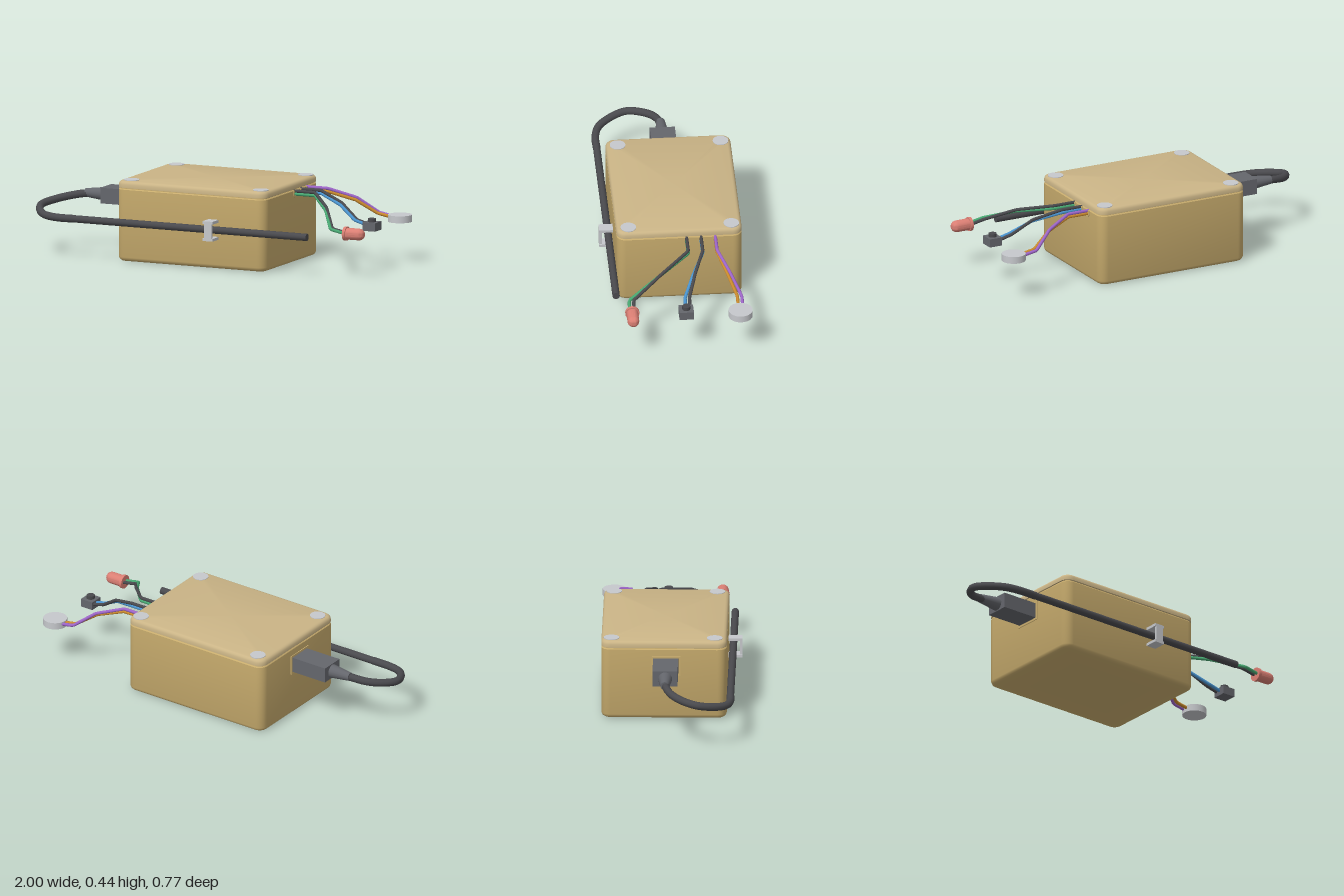
import * as THREE from 'three';
import { toCreasedNormals } from 'three/addons/utils/BufferGeometryUtils.js';

const V = (x, y, z) => new THREE.Vector3(x, y, z);
const mat = (name, color) => {
  const m = new THREE.MeshStandardMaterial({ color });
  m.name = name;
  return m;
};

// Rounded rectangle lofted through levels of [y, inset]
function roundedLoft(x0, x1, z0, z1, radius, levels) {
  const pos = [], idx = [], steps = 6, n = 4 * (steps + 1);
  const cx = (x0 + x1) / 2, cz = (z0 + z1) / 2;
  const hx = (x1 - x0) / 2 - radius, hz = (z1 - z0) / 2 - radius;
  for (const [y, inset] of levels) {
    for (let c = 0; c < 4; c++) {
      const sx = c === 0 || c === 3 ? 1 : -1, sz = c < 2 ? -1 : 1;
      for (let s = 0; s <= steps; s++) {
        const a = (c + s / steps) * Math.PI / 2, r = radius - inset;
        pos.push(cx + sx * hx + r * Math.cos(a), y, cz + sz * hz - r * Math.sin(a));
      }
    }
  }
  const last = levels.length - 1;
  for (let l = 0; l < last; l++) {
    for (let i = 0; i < n; i++) {
      const a = l * n + i, b = l * n + (i + 1) % n;
      idx.push(a, b, b + n, a, b + n, a + n);
    }
  }
  pos.push(cx, levels[0][0], cz, cx, levels[last][0], cz);
  const bottom = levels.length * n, top = bottom + 1;
  for (let i = 0; i < n; i++) {
    const j = (i + 1) % n;
    idx.push(bottom, j, i, top, last * n + i, last * n + j);
  }
  const g = new THREE.BufferGeometry();
  g.setAttribute('position', new THREE.Float32BufferAttribute(pos, 3));
  g.setIndex(idx);
  return toCreasedNormals(g, 0.6);
}

// Flat rectangular ring facing +z
function ringShape(w, h, t) {
  const s = new THREE.Shape([[-w, -h], [w, -h], [w, h], [-w, h]].map(p => new THREE.Vector2(...p)));
  const iw = w - t, ih = h - t;
  s.holes.push(new THREE.Path([[-iw, -ih], [-iw, ih], [iw, ih], [iw, -ih]].map(p => new THREE.Vector2(...p))));
  return s;
}

// Tube along straight segments
function wireGeometry(points, r) {
  const path = new THREE.CurvePath();
  for (let i = 1; i < points.length; i++) path.add(new THREE.LineCurve3(points[i - 1], points[i]));
  return new THREE.TubeGeometry(path, 40, r, 8);
}

export function createModel() {
  const root = new THREE.Group();
  const M = {
    body: mat('case tan', 0xc9ad6e), lid: mat('lid tan', 0xcab486),
    dark: mat('cable grey', 0x4a4a4e), plug: mat('plug grey', 0x64666c),
    silver: mat('silver', 0xc6c8cc), red: mat('lamp red', 0xdb7f74),
    green: mat('wire green', 0x48a872), blue: mat('wire blue', 0x4a94cf),
    purple: mat('wire purple', 0x9e66c9), orange: mat('wire orange', 0xc98a2e),
  };
  const add = (name, geo, m, x = 0, y = 0, z = 0, parent = root) => {
    const mesh = new THREE.Mesh(geo, m);
    mesh.name = name;
    mesh.position.set(x, y, z);
    parent.add(mesh);
    return mesh;
  };

  // Case with rounded edges, a seam and a lid
  add('caseBody', roundedLoft(-0.465, 0.425, -0.365, 0.31, 0.05,
    [[0, 0.02], [0.006, 0.009], [0.012, 0.004], [0.022, 0], [0.39, 0], [0.395, 0.004]]), M.body);
  add('seam', roundedLoft(-0.465, 0.425, -0.365, 0.31, 0.05, [[0.39, 0.008], [0.405, 0.008]]), M.body);
  add('lid', roundedLoft(-0.465, 0.425, -0.365, 0.31, 0.05,
    [[0.4, 0], [0.418, 0], [0.427, 0.004], [0.433, 0.01], [0.436, 0.02]]), M.lid);
  for (const x of [-0.4, 0.37]) {
    for (const z of [-0.31, 0.245]) {
      add('lidScrew', new THREE.CylinderGeometry(0.042, 0.042, 0.012, 24), M.silver, x, 0.433, z);
    }
  }

  // Plug, strain relief and cable looping round to the front
  add('plug', new THREE.BoxGeometry(0.22, 0.085, 0.135), M.plug, -0.572, 0.3, -0.0175);
  const frame = new THREE.ExtrudeGeometry(ringShape(0.08, 0.055, 0.012), { depth: 0.004, bevelEnabled: false });
  add('portFrame', frame, M.body, -0.465, 0.3, -0.0175).rotation.y = -Math.PI / 2;
  const relief = add('strainRelief', new THREE.CylinderGeometry(0.023, 0.038, 0.12, 16), M.plug, -0.74, 0.299, -0.0165);
  relief.rotation.z = Math.PI / 2;
  const bend = new THREE.CatmullRomCurve3([
    V(-0.74, 0.299, -0.016), V(-0.81, 0.294, -0.009), V(-0.88, 0.281, 0.018), V(-0.94, 0.266, 0.075),
    V(-0.977, 0.25, 0.16), V(-0.945, 0.232, 0.25), V(-0.885, 0.22, 0.312), V(-0.8, 0.215, 0.335), V(-0.7, 0.215, 0.335),
  ]);
  add('cableBend', new THREE.TubeGeometry(bend, 48, 0.021, 10), M.dark);
  add('cableRun', new THREE.CylinderGeometry(0.02, 0.02, 1.4, 10), M.dark, -0.01, 0.215, 0.335).rotation.z = Math.PI / 2;

  // Square clip holding the cable against the front wall
  const clip = new THREE.Group();
  clip.name = 'cableClip';
  root.add(clip);
  for (const y of [0.167, 0.26]) {
    add('clipArm', new THREE.BoxGeometry(0.06, 0.015, 0.08), M.silver, 0.12, y, 0.345, clip);
  }
  add('clipFront', new THREE.BoxGeometry(0.045, 0.1, 0.015), M.silver, 0.12, 0.2135, 0.3775, clip);

  // Wire pairs: exit z, mid point, end point and the two colours
  const pairs = [
    { name: 'lamp', z: -0.065, mid: V(0.69, 0.335, 0.1), end: V(0.8, 0.258, 0.262), tip: V(0.89, 0.24, 0.263), colors: [M.dark, M.green] },
    { name: 'button', z: -0.143, mid: V(0.69, 0.335, -0.085), end: V(0.8, 0.262, -0.04), tip: V(0.88, 0.24, -0.037), colors: [M.dark, M.blue] },
    { name: 'buzzer', z: -0.22, mid: V(0.69, 0.335, -0.272), end: V(0.8, 0.258, -0.322), tip: V(0.9, 0.24, -0.322), colors: [M.purple, M.orange] },
  ];
  const notch = new THREE.Shape();
  notch.moveTo(-0.019, 0.016);
  notch.lineTo(-0.019, -0.006);
  notch.absarc(0, -0.006, 0.019, Math.PI, 2 * Math.PI);
  notch.lineTo(0.019, 0.016);
  const hole = new THREE.Path();
  hole.absarc(0, -0.004, 0.013, 0, Math.PI * 2, true);
  notch.holes.push(hole);
  const notchGeo = new THREE.ExtrudeGeometry(notch, { depth: 0.005, bevelEnabled: false, curveSegments: 8 });
  for (const p of pairs) {
    add('wireExit', notchGeo, M.body, 0.424, 0.377, p.z).rotation.y = Math.PI / 2;
    p.colors.forEach((m, i) => {
      const s = i === 0 ? 1 : -1;
      const shift = (v, dy, dz) => v.clone().add(V(0, s * dy, -s * dz));
      add(p.name + 'Wire', wireGeometry([
        shift(V(0.41, 0.38, p.z), 0.008, 0), shift(V(0.545, 0.38, p.z), 0.008, 0),
        shift(p.mid, 0.006, 0.006), shift(p.end, 0, 0.012), shift(p.tip, 0, 0.012),
      ], 0.009), m);
    });
  }

  // Lamp with flange and domed tip
  const lampProfile = [[0, 0], [0.038, 0], [0.038, 0.016], [0.032, 0.016], [0.032, 0.086]]
    .map(p => new THREE.Vector2(...p));
  for (let i = 1; i <= 6; i++) {
    const a = i / 6 * Math.PI / 2;
    lampProfile.push(new THREE.Vector2(0.032 * Math.cos(a), 0.086 + 0.032 * Math.sin(a)));
  }
  const lamp = add('lamp', toCreasedNormals(new THREE.LatheGeometry(lampProfile, 20), 0.6), M.red, 0.88, 0.24, 0.263);
  lamp.rotation.z = -Math.PI / 2;

  // Push button
  add('buttonBase', new THREE.BoxGeometry(0.075, 0.046, 0.078), M.plug, 0.902, 0.238, -0.027);
  add('buttonCap', new THREE.CylinderGeometry(0.022, 0.022, 0.02, 16), M.dark, 0.902, 0.27, -0.027);

  // Round buzzer disc
  add('buzzer', new THREE.CylinderGeometry(0.065, 0.065, 0.038, 28), M.silver, 0.93, 0.24, -0.318);

  return root;
}
